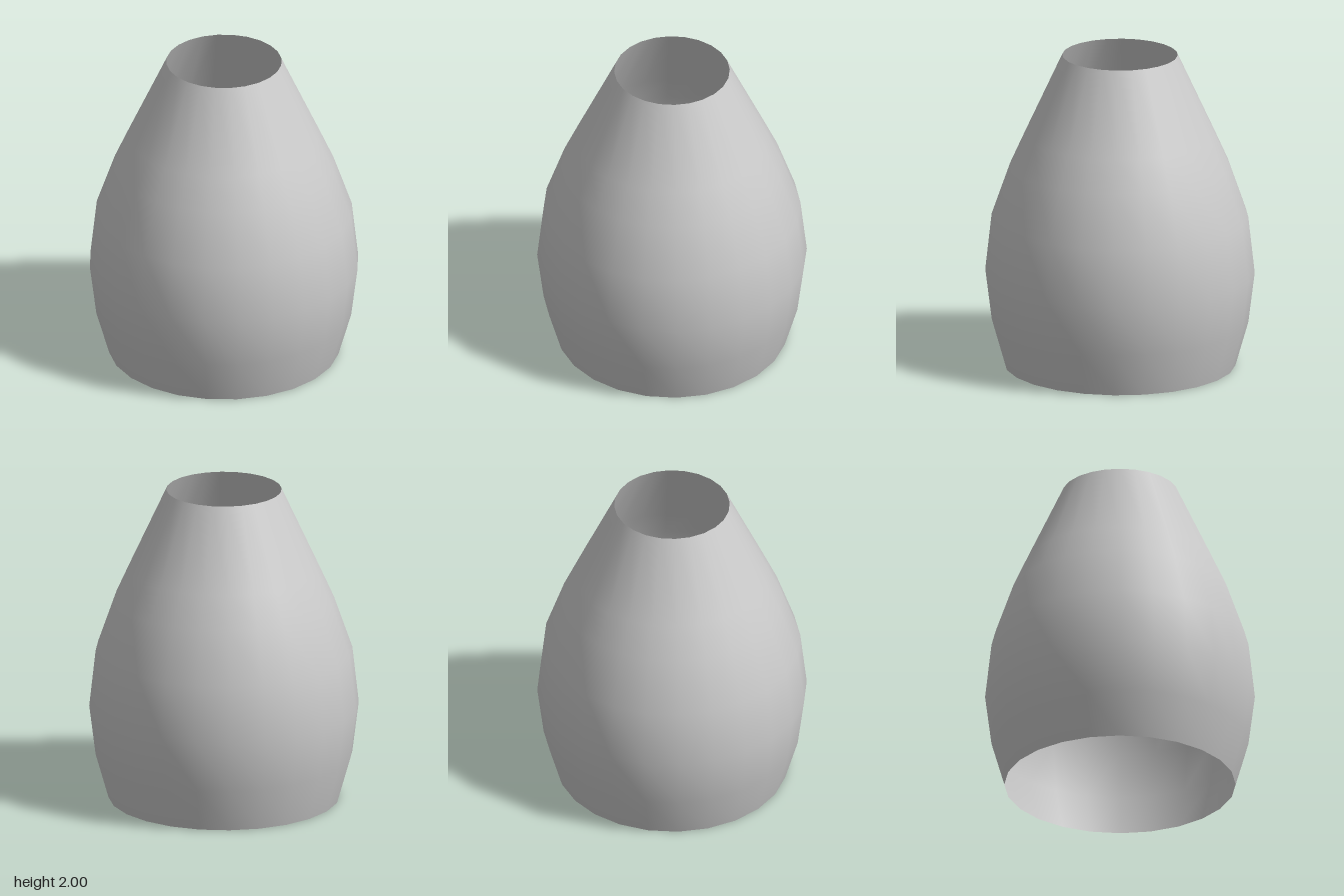
import * as THREE from 'three';

export function createModel() {
  const group = new THREE.Group();
  group.name = 'openVase';

  // Outer profile from base rim to mouth rim: [radius, height]
  const profile = [
    [0.72, 0], [0.80, 0.28], [0.84, 0.60], [0.80, 0.96],
    [0.685, 1.29], [0.595, 1.49], [0.36, 2],
  ].map(([r, y]) => new THREE.Vector2(r, y));

  // Thin smooth shell, open at both ends
  const shell = new THREE.Mesh(
    new THREE.LatheGeometry(profile, 24),
    new THREE.MeshStandardMaterial({ color: 0xcccccc, side: THREE.DoubleSide })
  );
  shell.name = 'shell';
  group.add(shell);

  return group;
}
